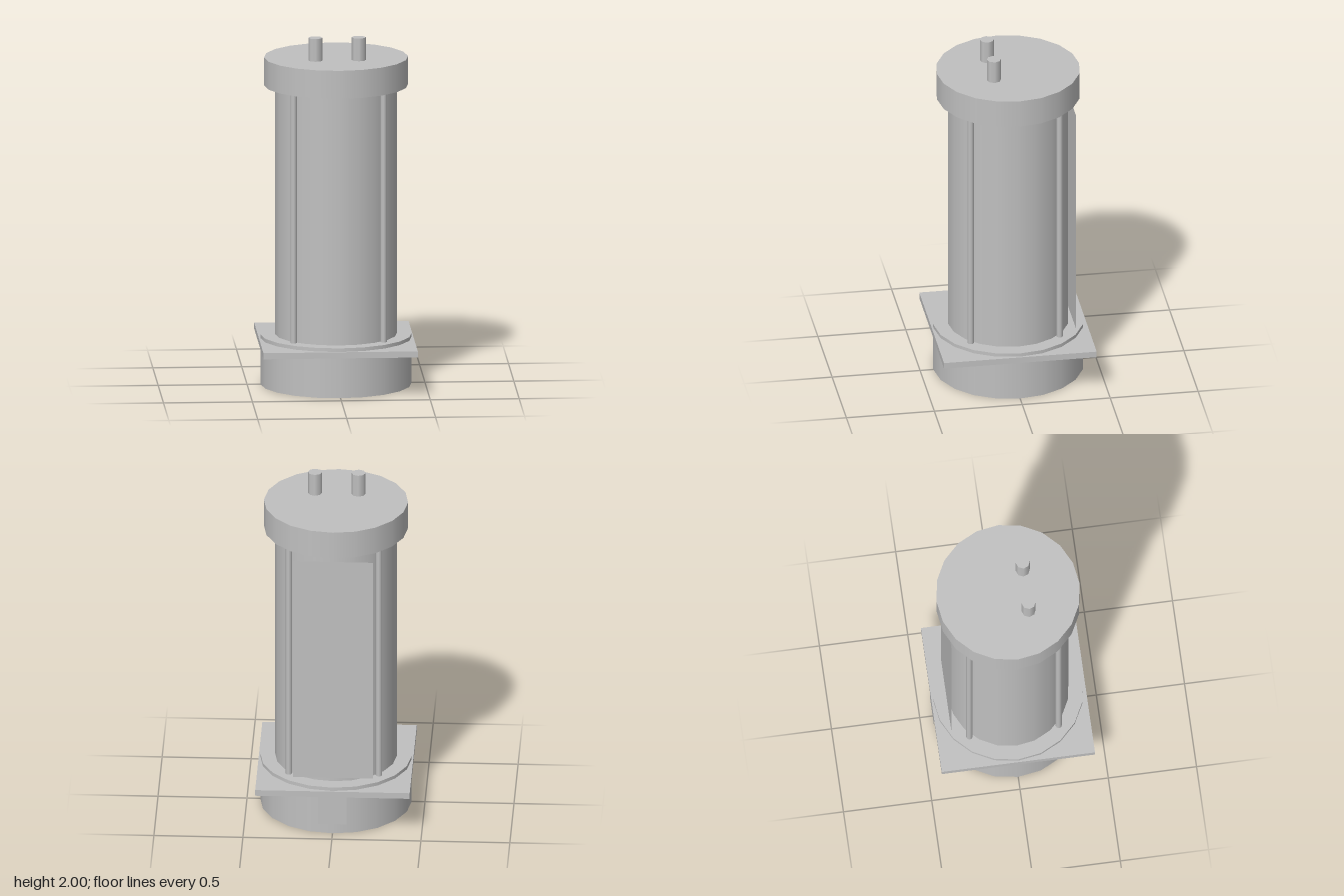
import * as THREE from 'three';

export function createModel() {
  const model = new THREE.Group();
  model.name = 'canister';
  const grey = new THREE.MeshStandardMaterial({ color: 0xc0c0c0 });
  grey.name = 'plain grey';
  const greySheet = new THREE.MeshStandardMaterial({ color: 0xc0c0c0, side: THREE.DoubleSide });
  greySheet.name = 'plain grey sheet';

  const add = (name, geometry, x, y, z, material = grey) => {
    const mesh = new THREE.Mesh(geometry, material);
    mesh.name = name;
    mesh.position.set(x, y, z);
    model.add(mesh);
    return mesh;
  };
  // Upright cylinder between two heights
  const post = (name, radius, y0, y1, sides, x = 0, z = 0) =>
    add(name, new THREE.CylinderGeometry(radius, radius, y1 - y0, sides), x, (y0 + y1) / 2, z);

  // Stacked round sections
  post('base', 0.425, 0, 0.285, 20);
  post('body', 0.342, 0.285, 1.71, 20);
  post('topCap', 0.405, 1.71, 1.87, 20);

  // Square mounting flange around the base
  add('mountingPlate', new THREE.BoxGeometry(0.868, 0.035, 0.868), 0, 0.247, 0);

  // Tie rods at the four diagonals
  for (const x of [-0.253, 0.253]) {
    for (const z of [-0.253, 0.253]) post('tieRod', 0.018, 0.285, 1.71, 8, x, z);
  }

  // Two terminals, toward the front of the cap
  for (const x of [-0.122, 0.122]) post('terminal', 0.04, 1.87, 2, 8, x, 0.1);

  // Flat label panel and small tag on the back
  const sheet = (name, width, y0, y1, z) => {
    const mesh = add(name, new THREE.PlaneGeometry(width, y1 - y0), 0, (y0 + y1) / 2, z, greySheet);
    mesh.rotation.y = Math.PI;
  };
  sheet('backPanel', 0.45, 0.31, 1.66, -0.35);
  sheet('backTag', 0.16, 0.06, 0.23, -0.43);

  return model;
}
